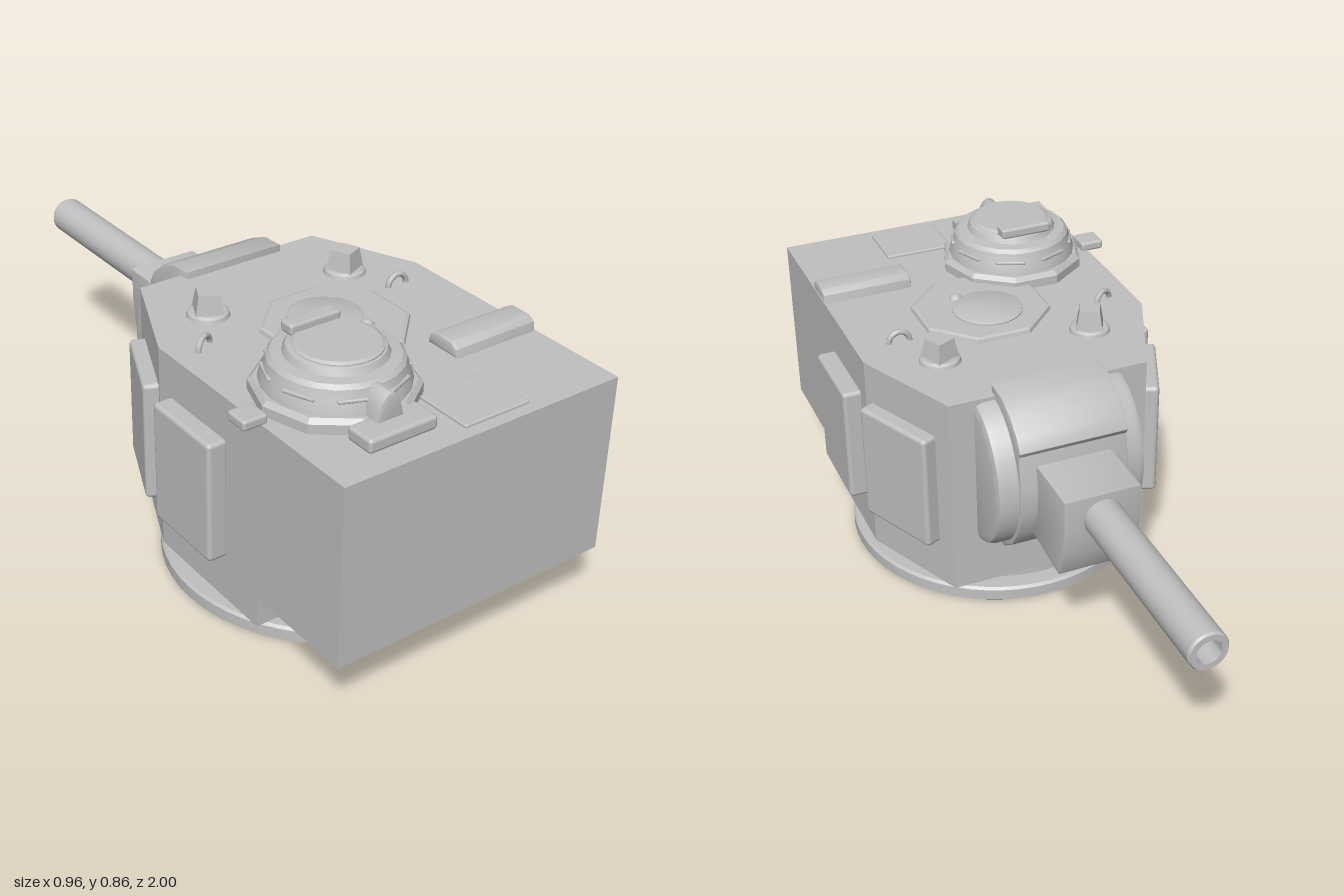
import * as THREE from 'three';
import { toCreasedNormals } from 'three/addons/utils/BufferGeometryUtils.js';
import { RoundedBoxGeometry } from 'three/addons/geometries/RoundedBoxGeometry.js';

const ROOF = 0.695;

export function createModel() {
  const model = new THREE.Group();
  const turret = new THREE.Group();
  turret.name = 'turret';
  // the turret is traversed slightly around its ring centre
  turret.position.set(0.01, 0, 0.34);
  turret.rotation.y = -0.085;
  model.add(turret);

  const grey = new THREE.MeshStandardMaterial({ color: 0xc0c0c0 });
  grey.name = 'armourGrey';

  const add = (name, geo, x = 0, y = 0, z = 0, ry = 0, parent = turret) => {
    const m = new THREE.Mesh(geo, grey);
    m.name = name;
    m.position.set(x, y, z);
    m.rotation.y = ry;
    parent.add(m);
    return m;
  };
  const shapeOf = (pts) => new THREE.Shape(pts.map(([a, b]) => new THREE.Vector2(a, b)));
  const box = (w, h, d, r = 0.01) => new RoundedBoxGeometry(w, h, d, 2, r);

  // plan outline (x, z) raised between two heights, with an optional opening
  const slab = (pts, y0, y1, hole) => {
    const s = shapeOf(pts);
    if (hole) s.holes.push(shapeOf(hole));
    const g = new THREE.ExtrudeGeometry(s, { depth: y1 - y0, bevelEnabled: false });
    g.rotateX(Math.PI / 2);
    g.translate(0, y1, 0);
    return g;
  };
  // side profile (forward, y) extruded across the width
  const across = (pts, width, bevel = 0.008) => {
    const g = new THREE.ExtrudeGeometry(shapeOf(pts), {
      depth: width - 2 * bevel, bevelSize: bevel, bevelThickness: bevel, bevelOffset: -bevel, bevelSegments: 2,
    });
    g.translate(0, 0, -(width - 2 * bevel) / 2);
    g.rotateY(Math.PI / 2);
    return toCreasedNormals(g, 0.6);
  };
  const lathe = (pts, seg, crease = 0.5) => toCreasedNormals(
    new THREE.LatheGeometry(pts.map(([r, y]) => new THREE.Vector2(r, y)), seg), crease);

  // hollow hull: walls, roof and floors (outline runs counter-clockwise)
  const outline = (inset, back) => {
    const w = 0.417 - inset, f = 0.285 - inset * 0.75;
    return [[-w, -0.13], [-f, -0.43 + inset], [f, -0.43 + inset], [w, -0.13], [w, back - inset], [-w, back - inset]];
  };
  const BACK = 0.622, STEP = 0.3;
  add('upperWalls', slab(outline(0, BACK), 0.19, 0.665, outline(0.03, BACK)));
  add('roof', slab(outline(0, BACK), 0.665, ROOF));
  add('lowerWalls', slab(outline(0, STEP), 0.12, 0.19, outline(0.03, STEP)));
  // ring opening, flattened where the rear step cuts it
  const opening = Array.from({ length: 48 }, (_, i) => {
    const a = i / 48 * Math.PI * 2;
    return [0.33 * Math.cos(a), Math.min(0.345 * Math.sin(a), 0.27)];
  });
  add('hullFloor', slab(outline(0, STEP), 0.1, 0.12, opening));
  add('bustleFloor', slab([[-0.417, 0.27], [0.417, 0.27], [0.417, BACK], [-0.417, BACK]], 0.19, 0.21));

  // turret ring
  const ring = add('turretRing', lathe([
    [0.35, 0], [0.418, 0], [0.425, 0.006], [0.425, 0.038], [0.418, 0.045], [0.371, 0.045],
    [0.371, 0.102], [0.33, 0.102], [0.33, 0.05], [0.35, 0.045], [0.35, 0]], 56));
  ring.scale.z = 1.045;

  // side armour plates and the bolts between them
  for (const s of [1, -1]) {
    const side = s > 0 ? 'left' : 'right';
    add(side + 'RearPlate', box(0.06, 0.345, 0.25, 0.012), s * 0.439, 0.405, 0.042);
    add(side + 'FrontPlate', box(0.06, 0.345, 0.255, 0.012), s * 0.37, 0.405, -0.266, s * 0.412);
    for (const y of [0.36, 0.45]) {
      add(side + 'Bolt', new THREE.SphereGeometry(0.022, 14, 10), s * 0.408, y, -0.112);
    }
  }

  // gun mantlet: rounded drum, thicker middle band, sleeve and barrel
  const drum = Array.from({ length: 21 }, (_, i) => {
    const a = Math.PI / 2 - i / 20 * Math.PI;
    return [0.4 + 0.19 * Math.cos(a), 0.465 + 0.222 * Math.sin(a)];
  });
  add('mantletDrum', across(drum, 0.43, 0.022));
  add('mantletBand', across([
    [0.4, 0.715], [0.47, 0.712], [0.53, 0.685], [0.575, 0.645], [0.594, 0.61], [0.585, 0.595], [0.6, 0.5],
    [0.598, 0.42], [0.57, 0.34], [0.53, 0.28], [0.47, 0.235], [0.4, 0.225]], 0.31, 0.006));
  add('gunSleeve', across([
    [0.55, 0.56], [0.773, 0.56], [0.773, 0.47], [0.762, 0.39], [0.742, 0.32], [0.73, 0.308], [0.55, 0.33]], 0.215, 0.006));
  const barrel = add('gunBarrel', lathe([
    [0, 0.7], [0.054, 0.7], [0.054, 1.338], [0.05, 1.345], [0.034, 1.345], [0.034, 1.1], [0, 1.1]], 32), 0, 0.49, 0);
  barrel.rotation.x = -Math.PI / 2;

  // commander's cupola
  const cupola = new THREE.Group();
  cupola.name = 'cupola';
  cupola.position.set(-0.182, ROOF, 0.282);
  turret.add(cupola);
  add('cupolaBase', lathe([[0, 0], [0.21, 0], [0.21, 0.026], [0.198, 0.038], [0, 0.038]], 10, 0.3), 0, 0, 0, 0.3, cupola);
  add('cupolaBody', lathe([
    [0.187, 0.03], [0.184, 0.05], [0.176, 0.07], [0.168, 0.098], [0.158, 0.108], [0.13, 0.111],
    [0.122, 0.128], [0.11, 0.134], [0, 0.137]], 20), 0, 0, 0, 0, cupola);
  for (let i = 0; i < 8; i++) {
    const a = (i + 0.5) / 8 * Math.PI * 2;
    add('visionVisor', box(0.085, 0.01, 0.014, 0.004), 0.17 * Math.sin(a), 0.072, 0.17 * Math.cos(a), a, cupola);
  }
  add('hatchLid', lathe([[0.112, 0.125], [0.112, 0.134], [0.104, 0.139], [0, 0.139]], 32), 0, 0, 0.005, 0, cupola);
  add('hatchHandle', box(0.15, 0.03, 0.045, 0.008), 0, 0.145, -0.1, 0, cupola);
  add('rearHinge', box(0.2, 0.038, 0.085), -0.01, 0.017, 0.228, 0, cupola);
  const arch = new THREE.Shape();
  arch.moveTo(-0.043, 0);
  arch.lineTo(0.043, 0);
  arch.bezierCurveTo(0.035, 0.14, -0.035, 0.14, -0.043, 0);
  add('hingeArch', toCreasedNormals(new THREE.ExtrudeGeometry(arch, {
    depth: 0.09, bevelSize: 0.006, bevelThickness: 0.006, bevelOffset: -0.006, bevelSegments: 2,
  }), 0.6), -0.012, 0, 0.125, 0, cupola);
  add('sideBracket', box(0.07, 0.028, 0.07, 0.008), -0.25, 0.01, -0.005, 0, cupola);

  // roof hatch ring with its disc
  add('hatchRing', lathe([[0.2, 0], [0.197, 0.01], [0.188, 0.014], [0, 0.014]], 8, 0.3), 0.018, ROOF, 0.025, Math.PI / 8);
  add('hatchDisc', lathe([[0.1, 0], [0.1, 0.018], [0.092, 0.022], [0, 0.022]], 32), 0.008, ROOF, -0.005);
  add('hatchKnob', new THREE.SphereGeometry(0.02, 14, 10), 0.07, ROOF + 0.008, 0.088);

  // periscopes and lifting eyes
  for (const [x, z, turn] of [[-0.218, -0.205, -0.45], [0.223, -0.2, 0.42]]) {
    add('periscopeBase', lathe([[0.058, 0], [0.055, 0.01], [0.048, 0.015], [0, 0.015]], 24), x, ROOF, z);
    const g = new THREE.CylinderGeometry(0.04, 0.055, 0.068, 4, 1);
    g.rotateY(Math.PI / 4);
    add('periscope', toCreasedNormals(g, 0.4), x, ROOF + 0.034, z, turn);
  }
  for (const [x, z, turn] of [[-0.322, -0.068, 0.5], [0.291, -0.06, 0]]) {
    add('liftingEye', new THREE.TorusGeometry(0.03, 0.008, 8, 16, Math.PI), x, ROOF, z, turn);
  }

  // rear roof fittings
  add('roofCover', across([
    [-0.055, 0], [0.055, 0], [0.05, 0.024], [0.03, 0.037], [-0.03, 0.037], [-0.05, 0.024]], 0.265, 0.008), 0.285, ROOF, 0.282);
  add('roofPanel', box(0.2, 0.016, 0.165, 0.005), 0.058, ROOF, 0.507);

  return model;
}
